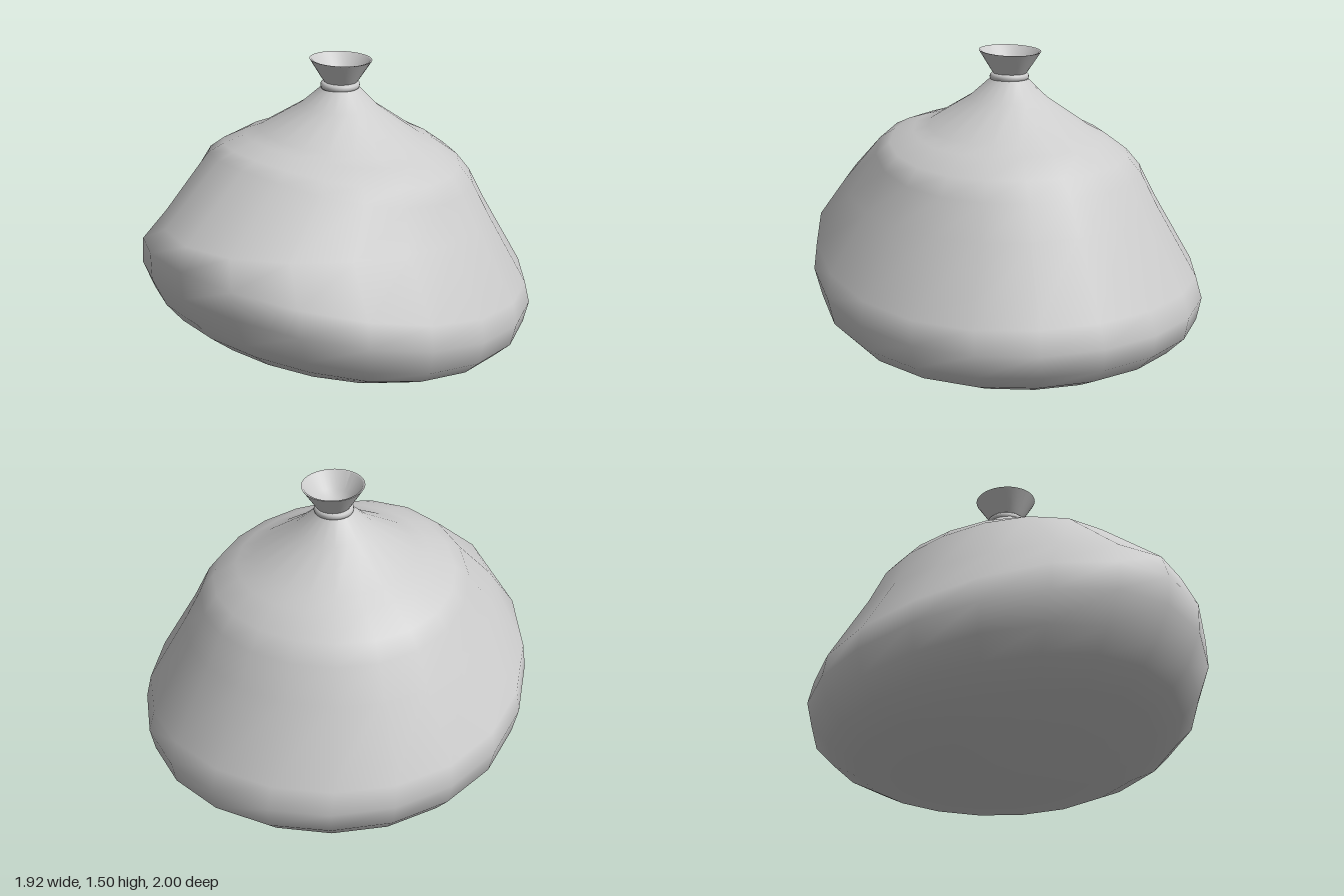
import * as THREE from 'three';

const SIDES = 20;
const CENTRE_Z = -0.03;

// Sack cross-sections, neck to base:
// [side reach x, back z, back y, front z, front y, tilt of y towards the right]
const RINGS = [
  [0.09, -0.12, 1.36, 0.07, 1.36, 0],
  [0.195, -0.21, 1.26, 0.16, 1.28, 0],
  [0.405, -0.42, 1.11, 0.36, 1.165, 0.005],
  [0.48, -0.5, 1.07, 0.43, 1.15, 0.005],
  [0.6, -0.61, 0.985, 0.53, 1.12, 0],
  [0.665, -0.68, 0.9, 0.61, 1.09, 0.005],
  [0.745, -0.76, 0.74, 0.96, 0.815, 0.005],
  [0.94, -0.96, 0.39, 1.0, 0.7, 0.012],
  [0.958, -1.0, 0.28, 0.99, 0.56, 0.015],
  [0.93, -0.98, 0.17, 0.91, 0.4, 0.015],
  [0.85, -0.89, 0.085, 0.83, 0.3, 0.005],
  [0.7, -0.76, 0.02, 0.7, 0.19, 0],
  [0.45, -0.58, 0.0, 0.28, 0.04, 0],
];

// Rings joined into a skin; the front bulge fades towards the sides and back
function sackGeometry() {
  const positions = [];
  const indices = [];
  RINGS.forEach(([rx, backZ, backY, frontZ, frontY, tilt]) => {
    const back = CENTRE_Z - backZ;
    const front = frontZ - CENTRE_Z;
    for (let i = 0; i < SIDES; i++) {
      const a = (i / SIDES) * Math.PI * 2;
      const w = Math.pow((1 + Math.cos(a)) / 2, 2.5);
      positions.push(
        rx * Math.sin(a),
        backY + (frontY - backY) * w - tilt * Math.sin(a),
        CENTRE_Z + Math.cos(a) * (back + (front - back) * w)
      );
    }
  });
  for (let r = 0; r < RINGS.length - 1; r++) {
    for (let i = 0; i < SIDES; i++) {
      const j = (i + 1) % SIDES;
      const a = r * SIDES + i, b = r * SIDES + j;
      const c = a + SIDES, d = b + SIDES;
      indices.push(a, c, b, b, c, d);
    }
  }
  // base fan
  const base = (RINGS.length - 1) * SIDES;
  const hub = positions.length / 3;
  positions.push(0, 0.015, -0.15);
  for (let i = 0; i < SIDES; i++) indices.push(base + i, hub, base + ((i + 1) % SIDES));

  const g = new THREE.BufferGeometry();
  g.setAttribute('position', new THREE.Float32BufferAttribute(positions, 3));
  g.setIndex(indices);
  g.computeVertexNormals();
  return g;
}

export function createModel() {
  const group = new THREE.Group();
  const material = new THREE.MeshStandardMaterial({ color: 0xcccccc, side: THREE.DoubleSide });
  const add = (name, geometry) => {
    const mesh = new THREE.Mesh(geometry, material);
    mesh.name = name;
    group.add(mesh);
    return mesh;
  };
  const lathe = (points) =>
    new THREE.LatheGeometry(points.map(([x, y]) => new THREE.Vector2(x, y)), 32);

  add('sack', sackGeometry());

  // cord tied round the neck
  const tie = add('tie', lathe([
    [0.08, 1.352], [0.092, 1.357], [0.096, 1.368], [0.094, 1.38], [0.085, 1.388], [0.07, 1.39],
  ]));
  tie.position.z = CENTRE_Z;

  // flared mouth: outer wall, thin rim, funnel inside
  const outer = lathe([[0.08, 1.385], [0.1, 1.415], [0.152, 1.497]]);
  const inner = lathe([[0.152, 1.497], [0.141, 1.495], [0.09, 1.425], [0.05, 1.4], [0, 1.39]]);
  for (const [name, g] of [['mouthOuter', outer], ['mouthInner', inner]]) {
    // the rim leans slightly to the back
    const p = g.attributes.position;
    for (let i = 0; i < p.count; i++) {
      const lift = Math.max(0, (p.getY(i) - 1.385) / 0.112);
      p.setY(i, p.getY(i) + 0.05 * lift * p.getZ(i));
    }
    g.computeVertexNormals();
    add(name, g).position.z = CENTRE_Z - 0.005;
  }
  return group;
}
